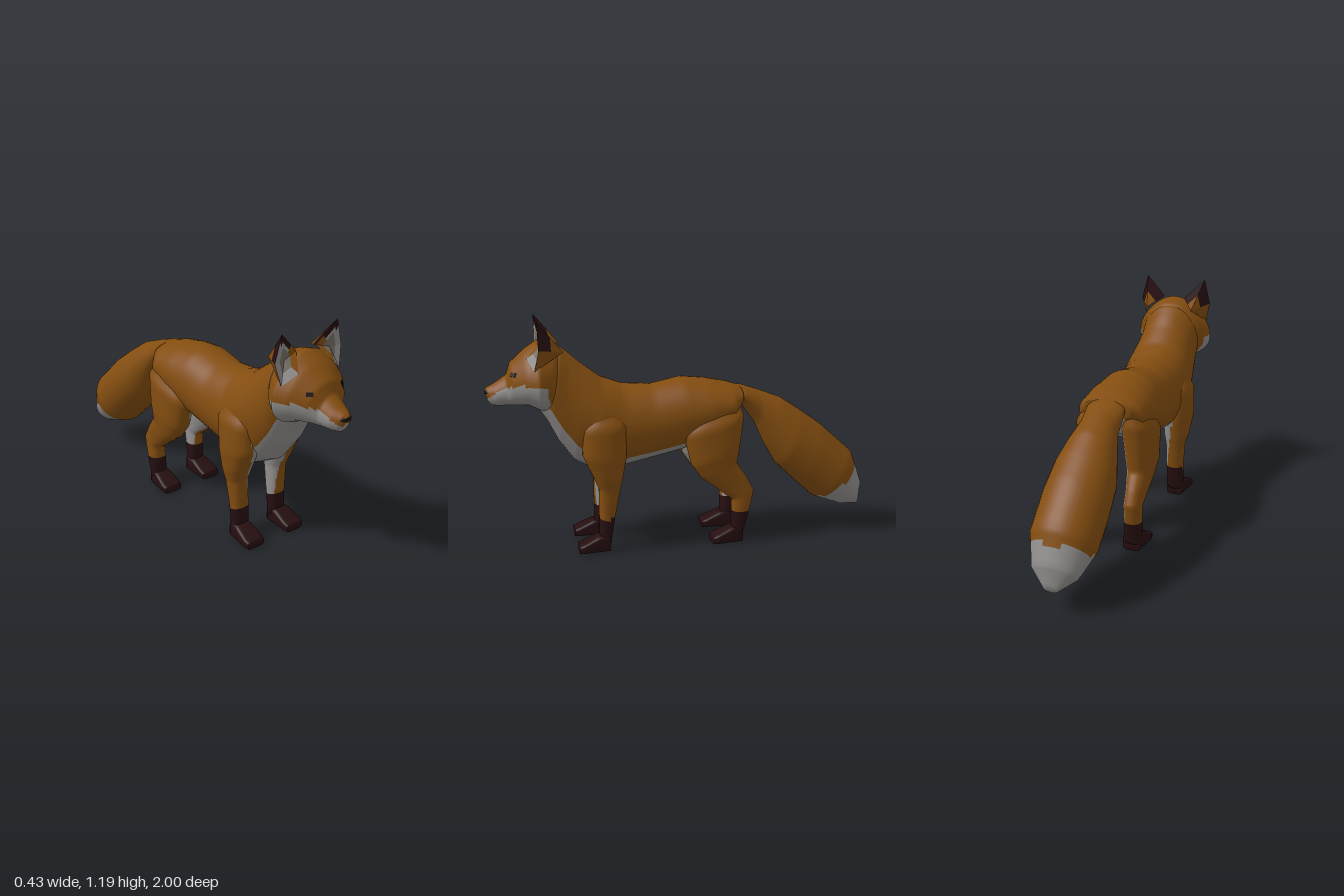
import * as THREE from 'three';

const palette = {
  orangeFur: 0x834d10, whiteFur: 0x908e8c, darkFur: 0x260e10, innerEar: 0x716b62, black: 0x160909,
};
const [ORANGE, WHITE, DARK, INNER, BLACK] = [0, 1, 2, 3, 4];

// Sorts painted triangles into one geometry group per colour.
function paintedMesh(name, geometry, tris, materials) {
  const index = [];
  materials.forEach((m, c) => {
    const own = tris.filter((t) => t[3] === c);
    if (own.length) geometry.addGroup(index.length, own.length * 3, c);
    own.forEach((t) => index.push(t[0], t[1], t[2]));
  });
  geometry.setIndex(index);
  geometry.computeVertexNormals();
  const mesh = new THREE.Mesh(geometry, materials);
  mesh.name = name;
  return mesh;
}

// Skins rings [centreX, halfWidth, z1, y1, z2, y2, flare]; (z1,y1) and (z2,y2)
// are opposite ends of a ring, and flare widens it towards the first end.
function loft(name, rings, materials, paint, side = 1, power = 1) {
  const seg = 40, sub = 6, rows = [], pos = [], tris = [];
  const soft = (v) => Math.sign(v) * Math.abs(v) ** power;
  for (let i = 0; i < rings.length - 1; i++) {
    for (let j = 0; j < sub; j++) {
      rows.push([0, 1, 2, 3, 4, 5, 6].map((n) =>
        THREE.MathUtils.lerp(rings[i][n] ?? 0, rings[i + 1][n] ?? 0, j / sub)));
    }
  }
  rows.push([...rings.at(-1), 0].slice(0, 7));
  for (const [x, w, z1, y1, z2, y2, k] of rows) {
    for (let s = 0; s < seg; s++) {
      const a = (s / seg) * Math.PI * 2, c = soft(Math.cos(a)), u = (1 - c) / 2;
      pos.push(side * x + w * soft(Math.sin(a)) * (1 - k * c),
        y2 + (y1 - y2) * u, z2 + (z1 - z2) * u);
    }
  }
  for (const r of [rows[0], rows.at(-1)]) pos.push(side * r[0], (r[3] + r[5]) / 2, (r[2] + r[4]) / 2);
  const colour = (ids, s) => {
    const mean = (n) => ids.reduce((t, i) => t + pos[i * 3 + n], 0) / ids.length;
    const deg = ((s + 0.5) / seg) * 360;
    return paint(Math.abs(mean(0)), mean(1), mean(2), Math.min(deg, 360 - deg));
  };
  const last = (rows.length - 1) * seg, hub = rows.length * seg;
  for (let s = 0; s < seg; s++) {
    const t = (s + 1) % seg;
    for (let r = 0; r < last; r += seg) {
      const [a, b, c, d] = [r + s, r + t, r + seg + t, r + seg + s];
      const m = colour([a, b, c, d], s);
      tris.push([a, b, c, m], [a, c, d, m]);
    }
    tris.push([hub, t, s, colour([hub, t, s], s)]);
    tris.push([hub + 1, last + s, last + t, colour([hub + 1, last + s, last + t], s)]);
  }
  // Turn every face outwards
  const v = (i) => new THREE.Vector3().fromArray(pos, i * 3);
  const volume = tris.reduce((t, f) => t + v(f[0]).dot(v(f[1]).cross(v(f[2]))), 0);
  if (volume < 0) tris.forEach((f) => { [f[1], f[2]] = [f[2], f[1]]; });
  const geometry = new THREE.BufferGeometry();
  geometry.setAttribute('position', new THREE.Float32BufferAttribute(pos, 3));
  return paintedMesh(name, geometry, tris, materials);
}

// Hollow pointed ear: rim, pit in front, point behind.
function makeEar(side, materials) {
  const P = (x, y, z) => new THREE.Vector3(x * side, y, z);
  const mid = (a, b, t = 0.5) => a.clone().lerp(b, t);
  const inner = P(0.06, 1.085, 0.715), tip = P(0.17, 1.193, 0.738), outer = P(0.204, 1.06, 0.735);
  const low = P(0.18, 0.955, 0.755), front = P(0.11, 1.01, 0.79);
  const pit = P(0.14, 1.06, 0.725), back = P(0.13, 1.04, 0.61);
  const rim = [inner, mid(inner, tip, 0.35), tip, mid(tip, outer, 0.25), outer, low, front];
  const rimPaint = [ORANGE, DARK, DARK, WHITE, WHITE, WHITE, ORANGE];
  const pos = [], tris = [];
  const face = (a, b, c, colour, away) => {
    const n = b.clone().sub(a).cross(c.clone().sub(a));
    const out = n.dot(mid(a, b).sub(away)) > 0 ? [a, b, c] : [a, c, b];
    const i = pos.length / 3;
    out.forEach((p) => pos.push(p.x, p.y, p.z));
    tris.push([i, i + 1, i + 2, colour]);
  };
  // Band of the fan from a-b to a point, between two fractions
  const band = (a, b, to, f, g, colour, away) => {
    const [a1, b1, a2, b2] = [mid(a, to, f), mid(b, to, f), mid(a, to, g), mid(b, to, g)];
    face(a1, b1, b2, colour, away);
    if (g < 1) face(a1, b2, a2, colour, away);
  };
  rim.forEach((a, i) => {
    const b = rim[(i + 1) % rim.length], colour = rimPaint[i];
    band(a, b, pit, 0, 0.3, colour, back);
    band(a, b, pit, 0.3, 0.5, colour === DARK ? WHITE : colour, back);
    band(a, b, pit, 0.5, 1, INNER, back);
    if (i > 4) return; // buried in the head
    band(a, b, back, 0, 0.5, i < 4 ? DARK : ORANGE, pit);
    band(a, b, back, 0.5, 1, ORANGE, pit);
  });
  const geometry = new THREE.BufferGeometry();
  geometry.setAttribute('position', new THREE.Float32BufferAttribute(pos, 3));
  return paintedMesh(side > 0 ? 'leftEar' : 'rightEar', geometry, tris, materials);
}

export function createModel() {
  const materials = Object.entries(palette).map(([name, color]) => {
    const m = new THREE.MeshStandardMaterial({ color });
    m.name = name;
    return m;
  });
  const fox = new THREE.Group();
  fox.name = 'fox';

  // Trunk and neck, rump to throat
  fox.add(loft('body', [
    [0, 0.12, -0.31, 0.815, -0.305, 0.72], [0, 0.172, -0.25, 0.835, -0.26, 0.62],
    [0, 0.185, -0.13, 0.86, -0.13, 0.55], [0, 0.182, 0, 0.873, 0, 0.49],
    [0, 0.176, 0.16, 0.84, 0.15, 0.455], [0, 0.18, 0.31, 0.85, 0.31, 0.42],
    [0, 0.188, 0.42, 0.89, 0.45, 0.4, 0.1], [0, 0.175, 0.52, 0.965, 0.56, 0.46, 0.05],
    [0, 0.165, 0.57, 1.01, 0.64, 0.57], [0, 0.162, 0.62, 1.05, 0.69, 0.67],
    [0, 0.13, 0.68, 1.06, 0.74, 0.745],
  ], materials, (x, y, z, a) => (a < (z > 0.4 ? 58 : 44) ? WHITE : ORANGE)));

  // Head, nape to muzzle
  const head = loft('head', [
    [0, 0.13, 0.58, 1.0, 0.65, 0.71], [0, 0.175, 0.65, 1.065, 0.685, 0.72, -0.1],
    [0, 0.208, 0.735, 1.085, 0.73, 0.735, -0.25], [0, 0.175, 0.8, 1.04, 0.78, 0.76, -0.2],
    [0, 0.12, 0.87, 0.975, 0.84, 0.762, -0.15], [0, 0.082, 0.89, 0.915, 0.885, 0.762, -0.15],
    [0, 0.065, 0.95, 0.875, 0.935, 0.762, -0.1], [0, 0.042, 0.985, 0.857, 0.965, 0.765],
    [0, 0.022, 0.997, 0.845, 0.985, 0.79],
  ], materials, (x, y, z, a) =>
    (a < 50 || (z > 0.69 && y < 0.885 - 2 * (z - 0.78) ** 2) ? WHITE : ORANGE));
  fox.add(head);

  const nose = new THREE.Mesh(new THREE.SphereGeometry(1, 16, 10), materials[BLACK]);
  nose.name = 'nose';
  nose.scale.set(0.036, 0.018, 0.024);
  nose.position.set(0, 0.832, 0.976);
  fox.add(nose);

  // Bushy tail with a pale tip
  fox.add(loft('tail', [
    [0, 0.08, -0.25, 0.825, -0.27, 0.75], [0, 0.1, -0.33, 0.815, -0.32, 0.72],
    [0, 0.1, -0.42, 0.785, -0.4, 0.61], [0, 0.13, -0.54, 0.74, -0.455, 0.49],
    [0, 0.16, -0.64, 0.675, -0.52, 0.38], [0, 0.168, -0.76, 0.59, -0.63, 0.275],
    [0, 0.165, -0.94, 0.43, -0.73, 0.185], [0, 0.115, -1, 0.27, -0.88, 0.13],
    [0, 0.035, -1, 0.16, -0.98, 0.12],
  ], materials, (x, y, z) => (y < 0.18 + (-0.73 - z) * 0.77 ? WHITE : ORANGE)));

  // Dark socks and pale inner sides
  const frontLegPaint = (x, y) => {
    if (y < 0.175) return DARK;
    return y < 0.6 && x < 0.1 + (y - 0.28) * 0.15 ? WHITE : ORANGE;
  };
  const hindLegPaint = (x, y, z, a) => {
    if (y < 0.17) return DARK;
    return y < 0.72 && x < 0.105 && a > 35 ? WHITE : ORANGE;
  };
  const frontLeg = [
    [0.1, 0.035, 0.46, 0.8, 0.36, 0.79], [0.135, 0.077, 0.53, 0.65, 0.3, 0.66],
    [0.135, 0.08, 0.53, 0.51, 0.31, 0.49], [0.132, 0.068, 0.48, 0.4, 0.33, 0.38],
    [0.128, 0.052, 0.452, 0.33, 0.345, 0.31], [0.122, 0.048, 0.452, 0.2, 0.37, 0.18],
    [0.122, 0.048, 0.452, 0.06, 0.393, 0.04],
  ];
  const hindLeg = [
    [0.09, 0.045, -0.06, 0.76, -0.28, 0.78], [0.122, 0.083, 0.01, 0.59, -0.306, 0.68],
    [0.13, 0.078, -0.03, 0.43, -0.285, 0.53], [0.13, 0.065, -0.08, 0.36, -0.27, 0.43],
    [0.134, 0.05, -0.18, 0.285, -0.325, 0.35], [0.135, 0.045, -0.245, 0.235, -0.362, 0.28],
    [0.132, 0.046, -0.245, 0.16, -0.335, 0.15], [0.128, 0.046, -0.245, 0.06, -0.305, 0.04],
  ];
  const paw = (z) => [
    [0.125, 0.046, z, 0.09, z, 0], [0.128, 0.052, z + 0.06, 0.085, z + 0.06, 0],
    [0.131, 0.057, z + 0.13, 0.053, z + 0.13, 0], [0.131, 0.052, z + 0.16, 0.04, z + 0.16, 0],
  ];

  const ray = new THREE.Raycaster();
  for (const side of [1, -1]) {
    const label = side > 0 ? 'left' : 'right';
    fox.add(loft(label + 'FrontLeg', frontLeg, materials, frontLegPaint, side, 0.85));
    fox.add(loft(label + 'HindLeg', hindLeg, materials, hindLegPaint, side, 0.85));
    fox.add(loft(label + 'FrontPaw', paw(0.4), materials, () => DARK, side, 0.45));
    fox.add(loft(label + 'HindPaw', paw(-0.3), materials, () => DARK, side, 0.45));
    fox.add(makeEar(side, materials));

    // Thin eye plate laid on the face
    ray.set(new THREE.Vector3(side * 0.1, 0.93, 2), new THREE.Vector3(0, 0, -1));
    const hit = ray.intersectObject(head)[0];
    if (hit) {
      const eye = new THREE.Mesh(new THREE.BoxGeometry(0.032, 0.02, 0.008), materials[BLACK]);
      eye.name = label + 'Eye';
      eye.position.copy(hit.point);
      eye.lookAt(hit.point.clone().add(hit.face.normal));
      fox.add(eye);
    }
  }
  return fox;
}
